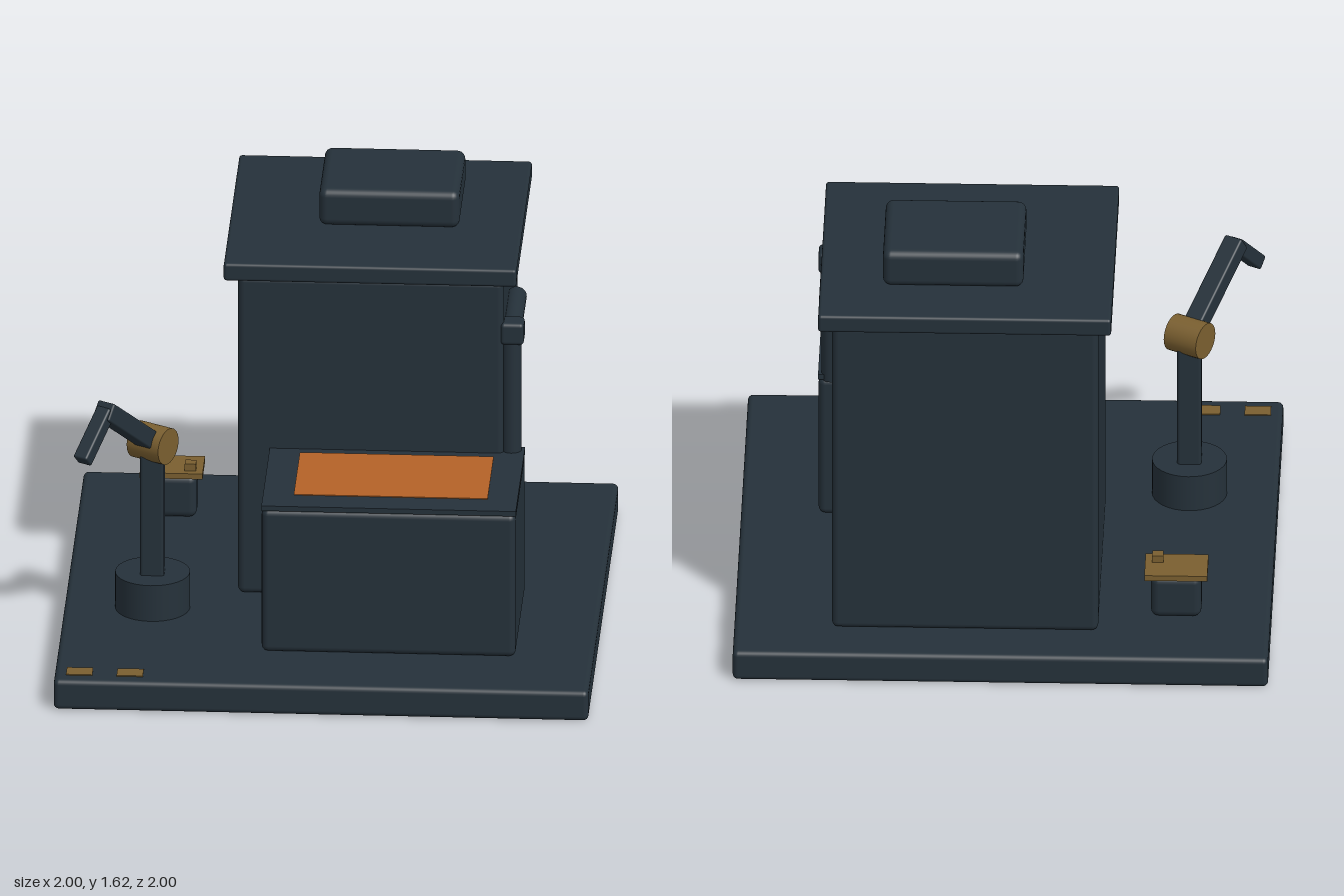
import * as THREE from 'three';
import { RoundedBoxGeometry } from 'three/addons/geometries/RoundedBoxGeometry.js';

const material = (name, color) => {
  const m = new THREE.MeshStandardMaterial({ color });
  m.name = name;
  return m;
};

export function createModel() {
  const slate = material('darkSlate', 0x25313a);
  const bronze = material('bronze', 0x7a5f30);
  const orange = material('orange', 0xb46227);

  const model = new THREE.Group();
  model.name = 'workshopStation';

  const add = (name, geometry, mat, x, y, z, parent = model) => {
    const mesh = new THREE.Mesh(geometry, mat);
    mesh.name = name;
    mesh.position.set(x, y, z);
    parent.add(mesh);
    return mesh;
  };
  // Box given by its limits on each axis, with an optional edge radius
  const block = (name, mat, [x0, x1], [y0, y1], [z0, z1], r = 0, parent = model) => {
    const size = [x1 - x0, y1 - y0, z1 - z0];
    const geometry = r ? new RoundedBoxGeometry(...size, 3, r) : new THREE.BoxGeometry(...size);
    return add(name, geometry, mat, (x0 + x1) / 2, (y0 + y1) / 2, (z0 + z1) / 2, parent);
  };

  // Base slab
  block('base', slate, [-1, 1], [0, 0.12], [-1, 1], 0.02);

  // Tower with roof and roof unit
  block('tower', slate, [-0.36, 0.635], [0.12, 1.41], [-0.805, 0.14], 0.025);
  block('roof', slate, [-0.41, 0.685], [1.41, 1.48], [-0.855, 0.19], 0.012);
  block('roofUnit', slate, [-0.075, 0.45], [1.478, 1.625], [-0.62, -0.19], 0.03);

  // Front cabinet with lid and work surface
  block('cabinet', slate, [-0.24, 0.71], [0.12, 0.698], [0.07, 0.69], 0.025);
  block('cabinetLid', slate, [-0.24, 0.712], [0.695, 0.715], [0.075, 0.69]);
  block('workSurface', orange, [-0.125, 0.6], [0.712, 0.718], [0.18, 0.58]);

  // Side pipe: riser, elbow block and horizontal run
  add('pipeRiser', new THREE.CylinderGeometry(0.038, 0.038, 0.5, 24), slate, 0.662, 0.94, 0.1);
  block('pipeElbow', slate, [0.622, 0.71], [1.153, 1.24], [0.055, 0.142], 0.015);
  const run = add('pipeRun', new THREE.CylinderGeometry(0.038, 0.038, 0.33, 24), slate, 0.662, 1.193, -0.075);
  run.rotation.x = Math.PI / 2;

  // Small bin with lid and knob
  block('bin', slate, [-0.742, -0.553], [0.12, 0.293], [-0.69, -0.56], 0.03);
  block('binLid', bronze, [-0.765, -0.53], [0.29, 0.312], [-0.71, -0.54]);
  block('binKnob', bronze, [-0.598, -0.556], [0.31, 0.34], [-0.608, -0.566]);

  // Floor markers
  for (const x of [-0.907, -0.718]) {
    block('floorMarker', bronze, [x - 0.049, x + 0.049], [0.118, 0.124], [0.88, 0.947]);
  }

  // Robot arm: fixed pedestal and column
  const robot = new THREE.Group();
  robot.name = 'robotArm';
  robot.position.set(-0.67, 0, 0.28);
  model.add(robot);
  add('pedestal', new THREE.CylinderGeometry(0.14, 0.14, 0.147, 32), slate, 0, 0.1915, 0, robot);
  block('column', slate, [-0.045, 0.045], [0.25, 0.77], [-0.045, 0.045], 0.012, robot);

  // Turned upper assembly, reaching along its local +z
  const upper = new THREE.Group();
  upper.name = 'armAssembly';
  upper.position.y = 0.787;
  upper.rotation.y = -Math.PI / 6;
  robot.add(upper);
  const shoulder = add('shoulder', new THREE.CylinderGeometry(0.07, 0.07, 0.14, 32), bronze, 0, 0, 0, upper);
  shoulder.rotation.z = Math.PI / 2;

  // Arm links run between [height, reach] points
  const link = (name, [y0, z0], [y1, z1], width, thickness) => {
    const length = Math.hypot(y1 - y0, z1 - z0);
    const mesh = add(name, new RoundedBoxGeometry(width, thickness, length, 2, 0.008), slate,
      0, (y0 + y1) / 2, (z0 + z1) / 2, upper);
    mesh.rotation.x = -Math.atan2(y1 - y0, z1 - z0);
  };
  link('upperArm', [0, 0], [0.25, 0.335], 0.075, 0.07);
  link('forearm', [0.245, 0.315], [0.095, 0.48], 0.06, 0.055);

  return model;
}
